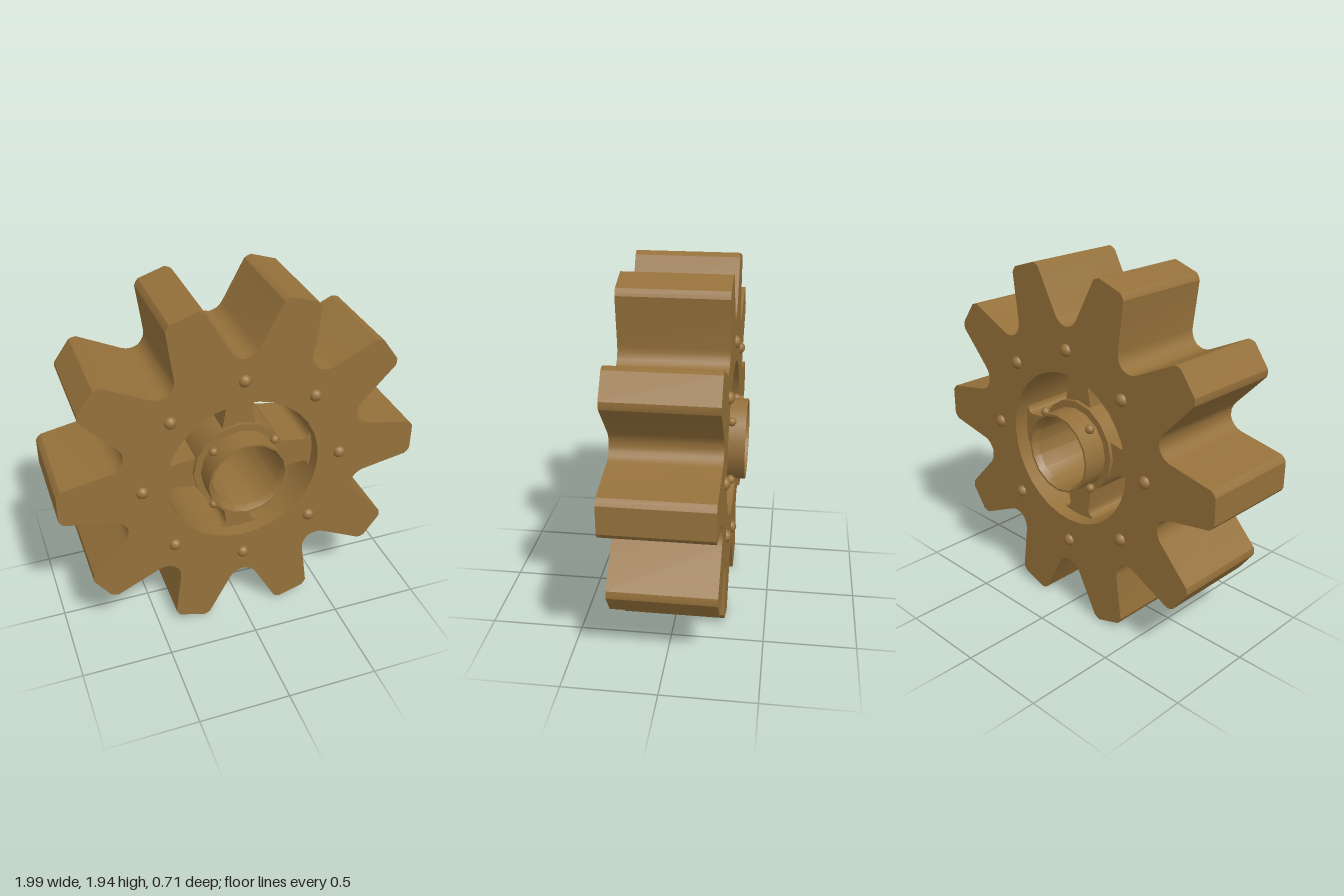
import * as THREE from 'three';
import { toCreasedNormals } from 'three/addons/utils/BufferGeometryUtils.js';

const CENTER_Y = 0.971;
const TEETH = 10;
const HALF_DEPTH = 0.28;

const bronze = new THREE.MeshStandardMaterial({ color: 0x94703a });
bronze.name = 'bronze';

function addMesh(parent, name, geometry) {
  const mesh = new THREE.Mesh(geometry, bronze);
  mesh.name = name;
  parent.add(mesh);
  return mesh;
}

// Extrusion centred on z = 0, rounded fillets smooth and corners sharp
function plate(shape, halfDepth) {
  const geo = new THREE.ExtrudeGeometry(shape, { depth: halfDepth * 2, bevelEnabled: false });
  geo.translate(0, 0, -halfDepth);
  return toCreasedNormals(geo, 0.5);
}

function polar(r, angle) {
  return new THREE.Vector2(r * Math.cos(angle), r * Math.sin(angle));
}

// Toothed body: half a tooth is mirrored, then repeated around the wheel
function gearBody() {
  const half = [
    [0.997, 0.074], [0.985, 0.092], [0.97, 0.105],
    [0.714, 0.153], [0.692, 0.161], [0.672, 0.174], [0.657, 0.192],
  ];
  const tooth = [...half.map(([x, y]) => [x, -y]).reverse(), ...half];
  const origin = new THREE.Vector2();
  const points = [];
  for (let i = 0; i < TEETH; i++) {
    const angle = (i / TEETH) * Math.PI * 2;
    for (const [x, y] of tooth) points.push(new THREE.Vector2(x, y).rotateAround(origin, angle));
    points.push(polar(0.68, angle + Math.PI / TEETH));
  }
  const shape = new THREE.Shape(points);
  const opening = [];
  for (let i = 0; i < 32; i++) opening.push(polar(0.427, (-i / 32) * Math.PI * 2));
  shape.holes.push(new THREE.Path(opening));
  return plate(shape, HALF_DEPTH);
}

// Spoke along +x, waisted in the middle and flared into the rim
function spokeGeometry() {
  const s = new THREE.Shape();
  s.moveTo(0.2, -0.098);
  s.lineTo(0.25, -0.09);
  s.lineTo(0.365, -0.072);
  s.quadraticCurveTo(0.405, -0.07, 0.41, -0.115);
  s.lineTo(0.44, -0.115);
  s.lineTo(0.44, 0.115);
  s.lineTo(0.41, 0.115);
  s.quadraticCurveTo(0.405, 0.07, 0.365, 0.072);
  s.lineTo(0.25, 0.09);
  s.lineTo(0.2, 0.098);
  s.closePath();
  return plate(s, 0.2);
}

// Closed ring profile of [radius, z] turned about the z axis
function ring(profile) {
  const points = [...profile, profile[0]].map(([r, z]) => new THREE.Vector2(r, z));
  return toCreasedNormals(new THREE.LatheGeometry(points, 16).rotateX(Math.PI / 2), 0.5);
}

// Round-headed rivets on both faces
function addRivets(parent, name, count, radius, size, z, offset) {
  const geo = new THREE.SphereGeometry(size, 12, 8);
  for (const side of [1, -1]) {
    for (let i = 0; i < count; i++) {
      const p = polar(radius, offset + (i / count) * Math.PI * 2);
      addMesh(parent, name, geo).position.set(p.x, p.y, side * z);
    }
  }
}

export function createModel() {
  const gear = new THREE.Group();
  gear.name = 'gear';
  const wheel = new THREE.Group();
  wheel.name = 'wheel';
  wheel.position.y = CENTER_Y;
  gear.add(wheel);

  addMesh(wheel, 'toothedRim', gearBody());

  // Four spokes
  const spoke = spokeGeometry();
  for (let i = 0; i < 4; i++) addMesh(wheel, 'spoke', spoke).rotation.z = (i * Math.PI) / 2;

  // Hub sleeve with a chamfered bore, and the collar around it
  addMesh(wheel, 'hubSleeve', ring([
    [0.22, -0.355], [0.22, 0.355], [0.208, 0.355], [0.19, 0.32],
    [0.19, -0.32], [0.208, -0.355],
  ]));
  addMesh(wheel, 'hubCollar', ring([
    [0.26, -0.22], [0.26, 0.22], [0.205, 0.22], [0.205, -0.22],
  ]));

  addRivets(wheel, 'rimRivet', 8, 0.555, 0.036, 0.273, 0);
  addRivets(wheel, 'hubRivet', 4, 0.24, 0.025, 0.28, Math.PI / 4);

  return gear;
}
